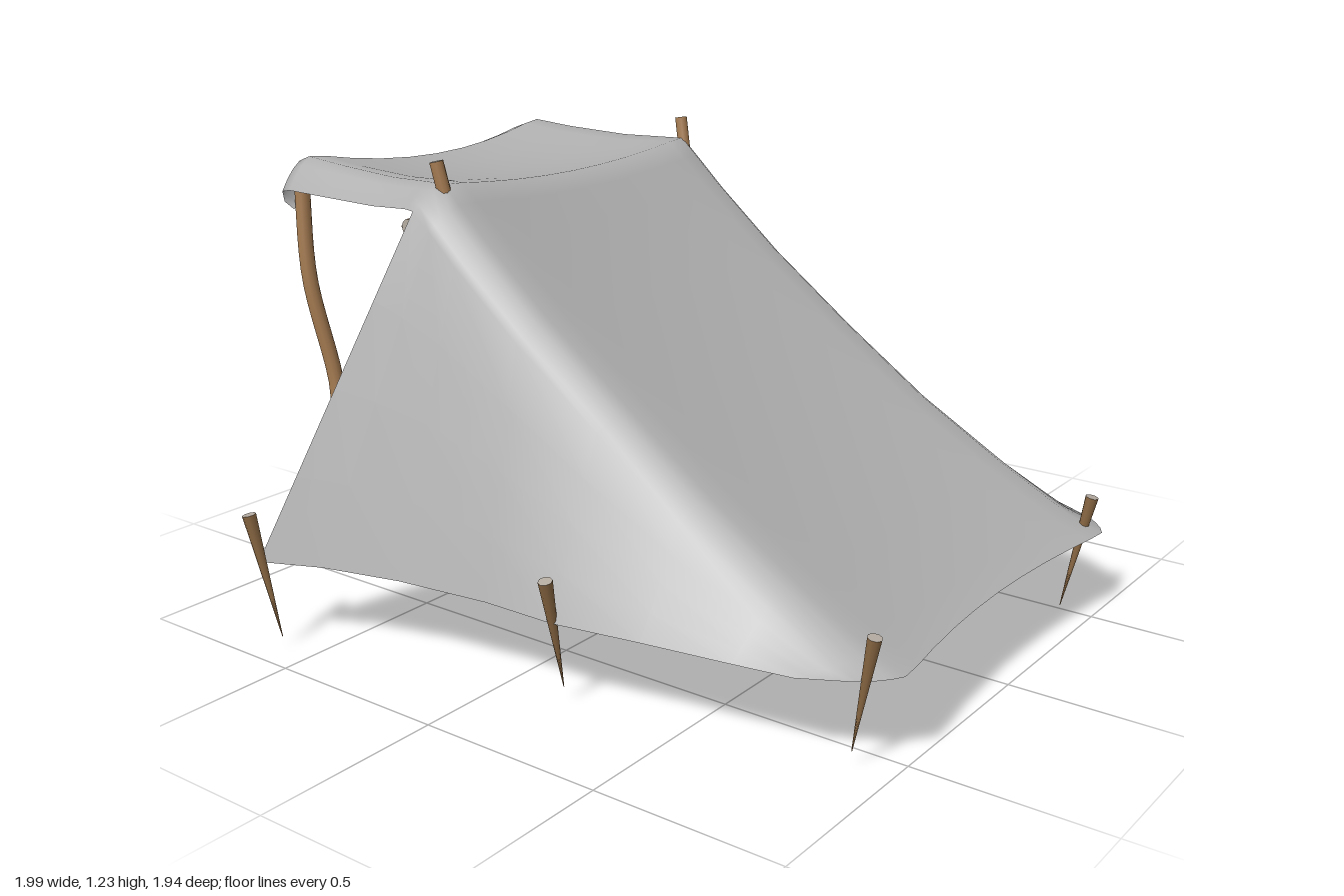
import * as THREE from 'three';

const GROUND = 0.225;

// Sheet rows: x, y of the top line, drop of the shoulder edge, sag in the middle,
// x shift of the edge, x bow of the middle, half width
const awningRows = [
  [-0.975, 1.07, 0.03, 0.03, -0.02, -0.025, 0.52],
  [-1.0, 1.13, 0.07, 0.04, -0.02, -0.03, 0.53],
  [-0.985, 1.17, 0.08, 0.05, -0.01, -0.03, 0.54],
  [-0.94, 1.187, 0.09, 0.055, 0, -0.02, 0.545],
  [-0.8, 1.175, 0.08, 0.06, 0, 0, 0.55],
  [-0.6, 1.165, 0.07, 0.05, 0, 0, 0.565],
  [-0.46, 1.168, 0.065, 0.04, 0.01, 0, 0.575],
];
// The same, then x and half width of the ground hem
const tentRows = [
  [-0.38, 1.172, 0.065, 0.035, 0.035, 0, 0.585, -0.66, 0.945],
  [-0.33, 1.125, 0.065, 0.03, 0.03, 0, 0.585, -0.5, 0.875],
  [-0.25, 1.05, 0.065, 0.025, 0.03, 0, 0.585, -0.28, 0.82],
  [-0.05, 0.88, 0.06, 0.025, 0.03, 0, 0.585, -0.02, 0.787],
  [0.2, 0.695, 0.055, 0.025, 0.03, 0, 0.585, 0.19, 0.785],
  [0.45, 0.52, 0.05, 0.025, 0.03, 0, 0.59, 0.42, 0.745],
  [0.7, 0.37, 0.04, 0.02, 0.03, 0.01, 0.6, 0.65, 0.71],
  [0.9, 0.262, 0.02, 0.01, 0.04, 0.03, 0.61, 0.8, 0.685],
  [1.0, GROUND, 0, 0, 0.08, 0.05, 0.62, 0.92, 0.62],
];

// One continuous sheet: awning, sloping back and two flared side panels
function canvasGeometry() {
  const across = [1, 0.975, 0.95, 0.91, 0.86, 0.75, 0.6, 0.4, 0.2];
  const top = [...across, 0, ...across.map((s) => -s).reverse()];
  const SIDE = 4;
  const cols = top.length + 2 * SIDE;
  const rows = [...awningRows, ...tentRows];
  const pos = [], index = [];
  rows.forEach(([x, y, drop, sag, shift, bow, hw, gx, gz], r) => {
    const cz = r < awningRows.length ? -0.032 : -0.015;
    const line = top.map((s) => {
      const k = Math.pow(Math.max(0, (Math.abs(s) - 0.82) / 0.18), 1.7);
      const m = Math.max(0, 1 - (s / 0.86) ** 2);
      return new THREE.Vector3(x - shift * k - bow * m, y - drop * k - sag * m, cz + hw * s);
    });
    const panel = (edge, side) => {
      const g = gx === undefined ? edge : new THREE.Vector3(gx, GROUND, cz + side * gz);
      return [0, 1, 2, 3].map((i) => g.clone().lerp(edge, i / SIDE));
    };
    const all = [...panel(line[0], 1), ...line, ...panel(line[line.length - 1], -1).reverse()];
    all.forEach((p) => pos.push(p.x, p.y, p.z));
  });
  for (let r = 0; r < rows.length - 1; r++) {
    const open = r < awningRows.length; // no side panels under the awning
    for (let c = open ? SIDE : 0; c < cols - 1 - (open ? SIDE : 0); c++) {
      const a = r * cols + c, b = a + cols;
      index.push(a, b, a + 1, b, b + 1, a + 1);
    }
  }
  const geo = new THREE.BufferGeometry();
  geo.setAttribute('position', new THREE.Float32BufferAttribute(pos, 3));
  geo.setIndex(index);
  geo.computeVertexNormals();
  return geo;
}

export function createModel() {
  const group = new THREE.Group();
  const material = (name, color) => {
    const m = new THREE.MeshStandardMaterial({ color });
    m.name = name;
    return m;
  };
  const cloth = material('grey canvas', 0xb0b0b0);
  cloth.side = THREE.DoubleSide;
  const wood = material('pole wood', 0xa67c52);
  const cut = material('cut wood', 0xb3aaa0);
  const dark = material('peg wood', 0x8a6843);

  const add = (name, geo, mat, parent = group) => {
    const mesh = new THREE.Mesh(geo, mat);
    mesh.name = name;
    parent.add(mesh);
    return mesh;
  };

  // Crooked branch through a few points, with a pale cut at each end
  function branch(name, points, radius) {
    const part = new THREE.Group();
    part.name = name;
    const pts = points.map((p) => new THREE.Vector3(...p));
    const curve = new THREE.CatmullRomCurve3(pts);
    add(name + 'Wood', new THREE.TubeGeometry(curve, 20, radius, 10), wood, part);
    [0, 1].forEach((t) => {
      const cap = add(name + 'Cut', new THREE.CircleGeometry(radius, 10), cut, part);
      const out = curve.getTangent(t).multiplyScalar(t ? 1 : -1);
      cap.position.copy(curve.getPoint(t));
      cap.quaternion.setFromUnitVectors(new THREE.Vector3(0, 0, 1), out);
    });
    group.add(part);
  }

  add('canvas', canvasGeometry(), cloth);

  // Poles holding the front of the awning
  branch('awningPoleLeft', [[-0.95, 1.11, 0.46], [-0.93, 0.85, 0.47], [-0.88, 0.55, 0.44],
    [-0.865, 0.4, 0.45], [-0.855, 0.18, 0.42]], 0.021);
  branch('awningPoleRight', [[-0.95, 1.11, -0.49], [-0.915, 0.85, -0.46], [-0.875, 0.55, -0.43],
    [-0.86, 0.4, -0.42], [-0.825, 0.22, -0.4]], 0.021);

  // Forked ridge posts and the sloping poles under the back, one pair per side
  [['Left', 0.49, 1], ['Right', -0.53, -1]].forEach(([label, z, s]) => {
    branch('ridgePost' + label, [[-0.28, 0.21, z - s * 0.01], [-0.31, 0.45, z - s * 0.03],
      [-0.33, 0.75, z - s * 0.01], [-0.365, 1.05, z - s * 0.01], [-0.4, 1.225, z + s * 0.005]], 0.018);
    branch('postFork' + label, [[-0.35, 0.84, z], [-0.41, 0.93, z + s * 0.02], [-0.49, 1.06, z + s * 0.03]], 0.015);
    branch('slopePole' + label, [[-0.5, 0.96, z + s * 0.03], [-0.2, 0.82, z], [0.1, 0.61, z - s * 0.03],
      [0.45, 0.42, z], [0.79, 0.225, z]], 0.022);
  });

  // Ridge pole resting in the forks
  branch('ridgePole', [[-0.435, 1.065, 0.57], [-0.425, 1.05, 0.2], [-0.425, 1.045, -0.2], [-0.435, 1.065, -0.61]], 0.021);

  // Tent pegs: top and tip
  [
    [[-0.66, 0.36, 0.95], [-0.6, 0.03, 0.92]],
    [[0.19, 0.34, 0.79], [0.18, 0.04, 0.72]],
    [[0.955, 0.335, 0.59], [0.9, 0.04, 0.58]],
    [[-0.66, 0.34, -0.95], [-0.61, 0.05, -0.91]],
    [[0.185, 0.34, -0.81], [0.17, 0.04, -0.72]],
    [[0.96, 0.32, -0.545], [0.9, 0.0, -0.52]],
  ].forEach(([a, b], i) => {
    const head = new THREE.Vector3(...a), tip = new THREE.Vector3(...b);
    const dir = head.clone().sub(tip);
    const peg = add('peg' + (i + 1), new THREE.CylinderGeometry(0.018, 0.001, dir.length(), 8), [dark, cut, dark]);
    peg.position.copy(head).add(tip).multiplyScalar(0.5);
    peg.quaternion.setFromUnitVectors(new THREE.Vector3(0, 1, 0), dir.normalize());
  });

  return group;
}
